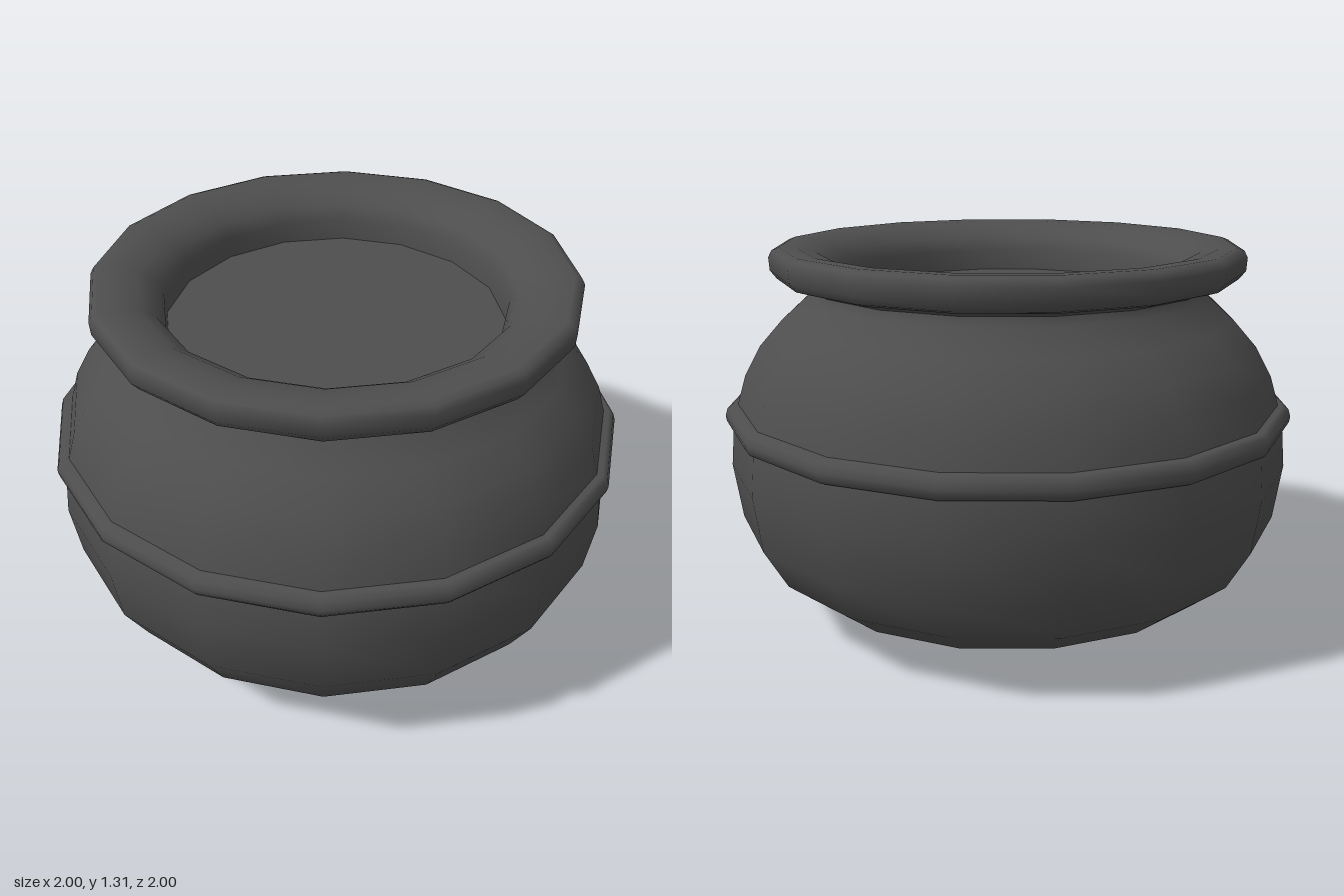
import * as THREE from 'three';

const SIDES = 16;

export function createModel() {
  const pot = new THREE.Group();
  pot.name = 'pot';

  const iron = new THREE.MeshStandardMaterial({ color: 0x4e4e4e });
  iron.name = 'dark iron';

  const add = (name, geometry) => {
    const mesh = new THREE.Mesh(geometry, iron);
    mesh.name = name;
    pot.add(mesh);
    return mesh;
  };
  // Profiles run from the bottom outside upwards, as [radius, height]
  const turn = (profile) =>
    new THREE.LatheGeometry(profile.map(([r, y]) => new THREE.Vector2(r, y)), SIDES);

  // Round belly up to the neck
  add('belly', turn([
    [0, 0.005], [0.2, 0.014], [0.41, 0.033], [0.6, 0.07], [0.76, 0.13], [0.88, 0.225],
    [0.96, 0.365], [0.988, 0.56], [0.975, 0.7], [0.955, 0.78], [0.925, 0.88],
    [0.87, 0.98], [0.79, 1.07], [0.7, 1.15], [0.695, 1.2],
  ]));

  // Raised band around the belly
  add('band', turn([
    [0.95, 0.703], [0.985, 0.703], [0.997, 0.72], [1, 0.74],
    [0.992, 0.765], [0.975, 0.778], [0.93, 0.778],
  ]));

  // Rolled rim, curling over into the mouth
  add('rim', turn([
    [0.69, 1.175], [0.71, 1.19], [0.76, 1.2], [0.8, 1.212], [0.822, 1.24], [0.825, 1.285],
    [0.813, 1.308], [0.79, 1.317], [0.73, 1.314], [0.665, 1.298],
    [0.61, 1.262], [0.583, 1.215], [0.578, 1.13],
  ]));

  // Flat surface closing the mouth
  const filling = add('filling', new THREE.CircleGeometry(0.585, SIDES));
  filling.rotation.x = -Math.PI / 2;
  filling.position.y = 1.14;

  return pot;
}
